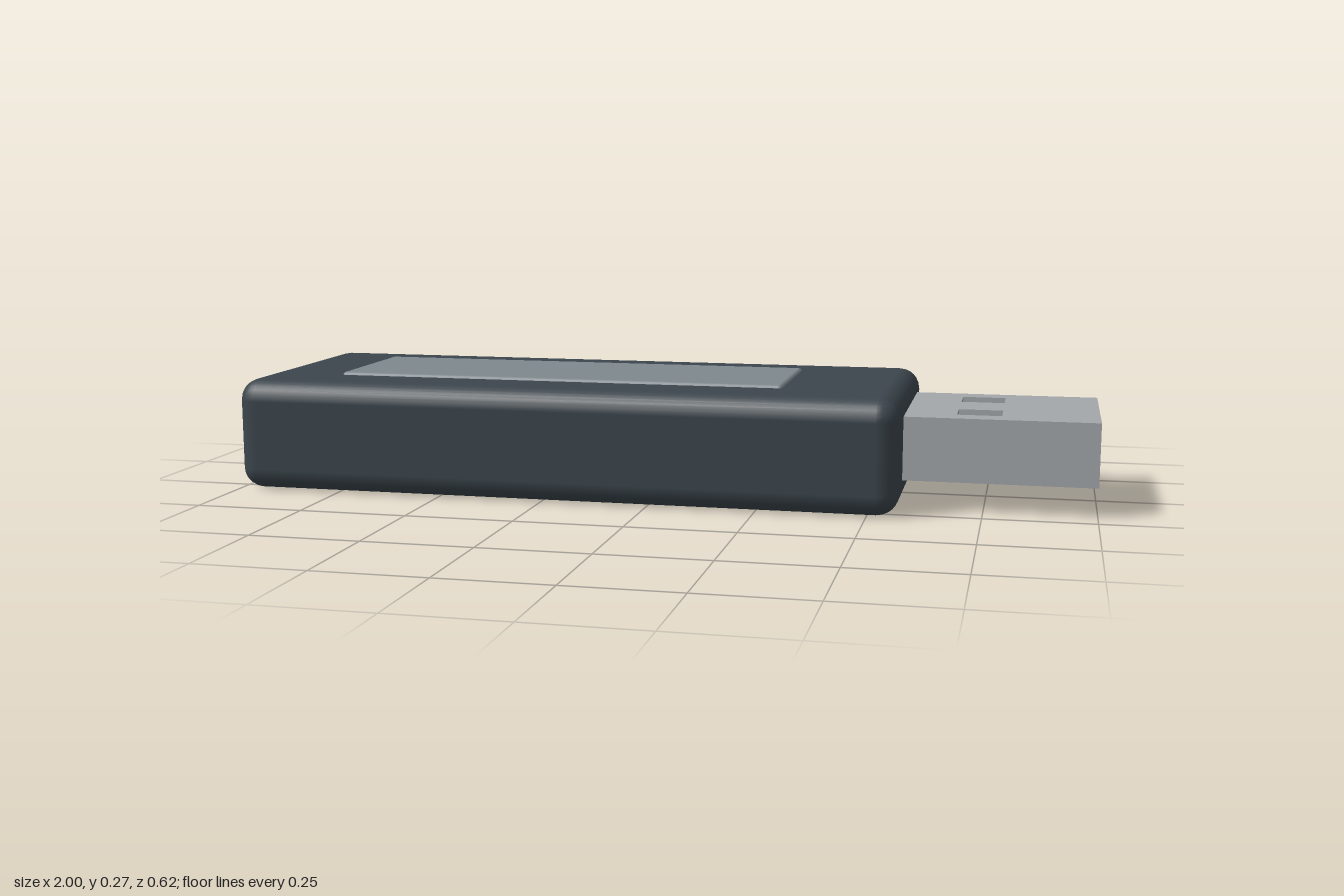
import * as THREE from 'three';
import { RoundedBoxGeometry } from 'three/addons/geometries/RoundedBoxGeometry.js';

const mat = (color) => new THREE.MeshStandardMaterial({ color });

export function createModel() {
  const model = new THREE.Group();
  const casing = mat(0x3c464d), panel = mat(0x7f898e), metal = mat(0xa3a8ab);
  const plastic = mat(0x20262a), gold = mat(0xb38f45);

  const add = (name, geometry, material, x, y, z, parent = model) => {
    const mesh = new THREE.Mesh(geometry, material);
    mesh.name = name;
    mesh.position.set(x, y, z);
    parent.add(mesh);
    return mesh;
  };

  // Rounded casing and the raised panel on its top
  add('casing', new RoundedBoxGeometry(1.57, 0.263, 0.622, 3, 0.05), casing, -0.215, 0.1315, 0);
  add('topPanel', new RoundedBoxGeometry(1.08, 0.03, 0.326, 2, 0.01), panel, -0.25, 0.255, 0);

  // Hollow plug shell, open at the end
  const shell = new THREE.Group();
  shell.name = 'plugShell';
  model.add(shell);
  const x0 = 0.55, x1 = 1, y0 = 0.068, y1 = 0.213, halfZ = 0.196, t = 0.008;
  const length = x1 - x0, midX = (x0 + x1) / 2;
  add('shellBottom', new THREE.BoxGeometry(length, t, halfZ * 2), metal, midX, y0 + t / 2, 0, shell);
  for (const s of [-1, 1]) {
    add('shellSide', new THREE.BoxGeometry(length, y1 - y0 - 2 * t, t), metal,
      midX, (y0 + y1) / 2, s * (halfZ - t / 2), shell);
  }

  // Top plate with two rectangular windows
  const rect = (path, ax, ay, bx, by) =>
    path.moveTo(ax, ay).lineTo(bx, ay).lineTo(bx, by).lineTo(ax, by).closePath();
  const plate = rect(new THREE.Shape(), x0, -halfZ, x1, halfZ);
  for (const s of [-1, 1]) {
    plate.holes.push(rect(new THREE.Path(), 0.685, s * 0.1 - 0.041, 0.785, s * 0.1 + 0.041));
  }
  const plateGeometry = new THREE.ExtrudeGeometry(plate, { depth: t, bevelEnabled: false });
  plateGeometry.rotateX(-Math.PI / 2);
  add('shellTop', plateGeometry, metal, 0, y1 - t, 0, shell);

  // Plastic tongue with four contacts
  add('tongue', new RoundedBoxGeometry(0.33, 0.052, 0.296, 2, 0.005), plastic, 0.71, 0.108, 0);
  for (let i = 0; i < 4; i++) {
    add('contact', new THREE.BoxGeometry(0.27, 0.006, 0.025), gold, 0.71, 0.134, (i - 1.5) * 0.0725);
  }
  return model;
}
